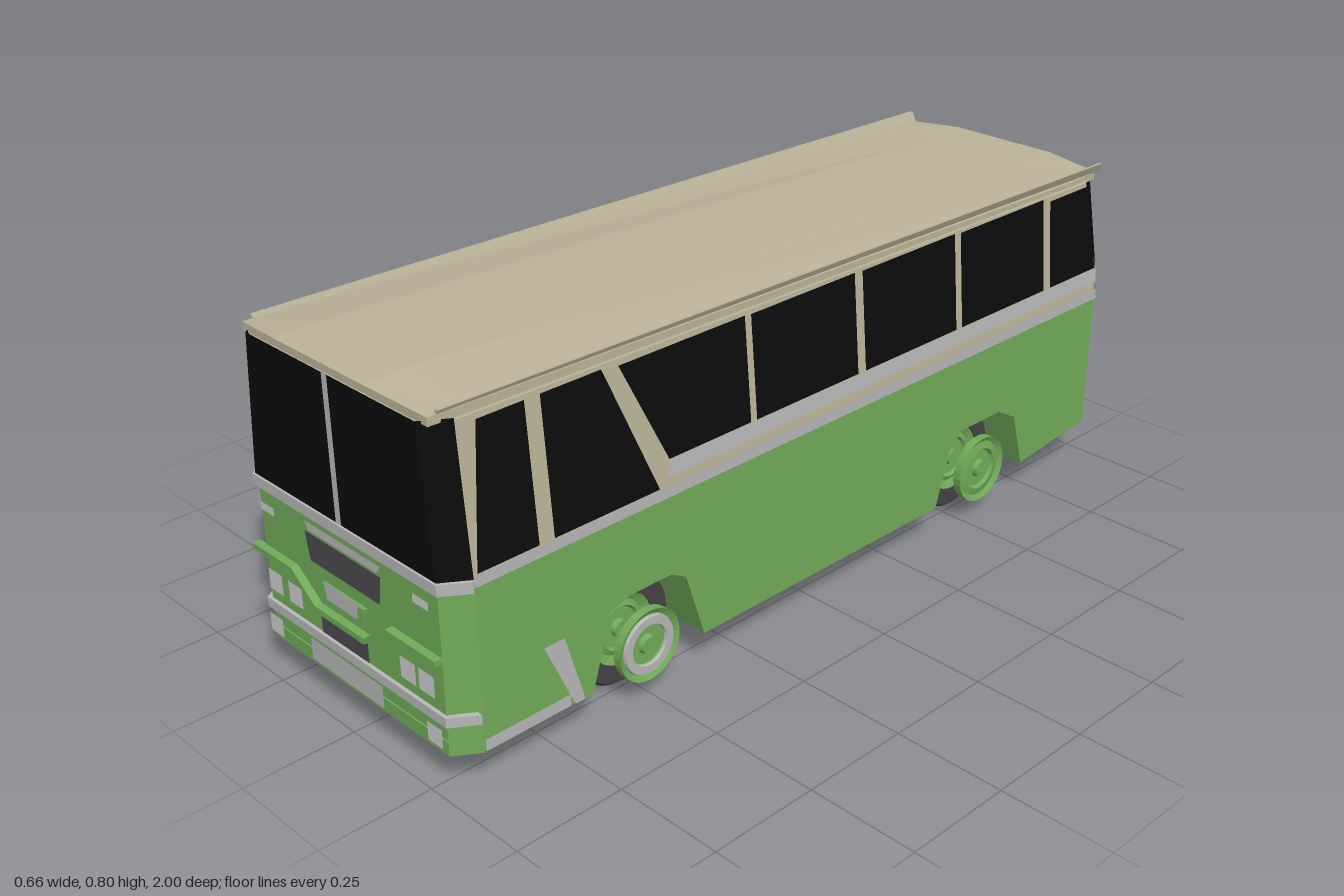
import * as THREE from 'three';

const mat = (name, color, side = THREE.FrontSide) => {
  const m = new THREE.MeshStandardMaterial({ color, side });
  m.name = name;
  return m;
};

export function createModel() {
  const bus = new THREE.Group();
  bus.name = 'bus';
  const green = mat('green paint', 0x70aa58);
  const beige = mat('beige paint', 0xbab297);
  const silver = mat('silver trim', 0xb6b6b6, THREE.DoubleSide);
  const lamp = mat('lamp glass', 0xcccccc);
  const black = mat('dark glass', 0x0b0b0b, THREE.DoubleSide);
  const grey = mat('dark grey grille', 0x4b494b);
  const rubber = mat('tyre rubber', 0x444144);
  const rearLamp = mat('rear lamp', 0xa69c88);

  const add = (name, geo, material, parent = bus) => {
    const m = new THREE.Mesh(geo, material);
    m.name = name;
    parent.add(m);
    return m;
  };

  // Skin between rows of points; closed rows also get end caps
  const loft = (rows, closed = true) => {
    const out = [];
    const tri = (...p) => p.forEach(q => out.push(...q));
    const n = rows[0].length;
    for (let r = 0; r < rows.length - 1; r++) {
      for (let i = 0; i < (closed ? n : n - 1); i++) {
        const j = (i + 1) % n, A = rows[r], B = rows[r + 1];
        tri(A[j], A[i], B[i]);
        tri(A[j], B[i], B[j]);
      }
    }
    if (closed) {
      const a = rows[0], b = rows[rows.length - 1];
      for (let i = 1; i < n - 1; i++) {
        tri(a[0], a[i], a[i + 1]);
        tri(b[0], b[i + 1], b[i]);
      }
    }
    const g = new THREE.BufferGeometry();
    g.setAttribute('position', new THREE.Float32BufferAttribute(out, 3));
    g.computeVertexNormals();
    return g;
  };

  // Body plan at a height: sides lean in and the tail leans forward above the waist
  const lean = y => Math.max(0, y - 0.46);
  const halfW = y => 0.323 - lean(y) * 0.088;
  const rearZ = y => 0.994 - lean(y) * 0.12;
  const plan = (y, o = 0) => {
    const w = halfW(y) + o, f = 0.98 + o, r = -rearZ(y) - o;
    return [[w, r + 0.045], [w, f - 0.055], [w - 0.037, f], [-w + 0.037, f],
      [-w, f - 0.055], [-w, r + 0.045], [-w + 0.035, r], [w - 0.035, r]].map(([x, z]) => [x, y, z]);
  };
  const pick = (idx, y, o) => { const p = plan(y, o); return idx.map(i => p[i]); };
  const NOSE = [1, 2, 3, 4], TAIL = [5, 6, 7, 0];
  const wrap = (name, idx, y0, y1, o, m) => add(name, loft([pick(idx, y0, o), pick(idx, y1, o)], false), m);
  const bar = (name, idx, y0, y1, o, m) => add(name, loft([pick(idx, y0, o), pick(idx, y1, o)]), m);

  // Flat panels laid on the sides ([z, y] points) and on the ends ([x, y] points)
  const flat = (pts, s, place) => {
    const g = new THREE.ShapeGeometry(new THREE.Shape(pts.map(([u, v]) => new THREE.Vector2(s * u, v))));
    const p = g.attributes.position;
    for (let i = 0; i < p.count; i++) p.setXYZ(i, ...place(s * p.getX(i), p.getY(i)));
    g.computeVertexNormals();
    return g;
  };
  const sidePanels = (name, pts, m, o = 0.004) => {
    for (const s of [1, -1]) add(name, flat(pts, -s, (z, y) => [s * (halfW(y) + o), y, z]), m);
  };
  const endPanel = (name, s, pts, m, o = 0.005) =>
    add(name, flat(pts, s, (x, y) => [x, y, s > 0 ? 0.98 + o : -rearZ(y) - o]), m);
  const rect = (a, b, c, d) => [[a, c], [b, c], [b, d], [a, d]];

  // Lower body with open wheel arches
  const profile = [[0.925, 0.085], [0.925, 0.45], [-0.949, 0.45], [-0.949, 0.11], [-0.70, 0.085],
    [-0.66, 0.22], [-0.60, 0.255], [-0.46, 0.255], [-0.42, 0.215], [-0.38, 0.085],
    [0.36, 0.085], [0.41, 0.24], [0.45, 0.262], [0.56, 0.262], [0.61, 0.245], [0.66, 0.085]];
  const hull = new THREE.ExtrudeGeometry(new THREE.Shape(profile.map(p => new THREE.Vector2(...p))),
    { depth: 0.646, bevelEnabled: false });
  hull.rotateY(-Math.PI / 2).translate(0.323, 0, 0);
  add('lowerBody', hull, green);
  bar('nose', NOSE, 0.082, 0.45, 0, green);
  const tuck = pick(TAIL, 0.11).map(([x, y, z]) => [x, y, Math.max(z, -0.965)]);
  add('tail', loft([tuck, pick(TAIL, 0.15), pick(TAIL, 0.45)]), green);

  // Cabin, waist bands and wraparound glass
  add('cabin', loft([plan(0.45), plan(0.755).map(([x, y, z]) => [x, 0.745 + 0.015 * z, z])]), beige);
  wrap('waistBand', [4, 5, 6, 7, 0, 1], 0.438, 0.462, 0.003, silver);
  sidePanels('upperBand', [[0.46, 0.482], [-0.95, 0.482], [-0.95, 0.515], [0.445, 0.515]], silver, 0.003);
  wrap('rearUpperBand', TAIL, 0.482, 0.515, 0.003, silver);
  wrap('windscreen', NOSE, 0.457, 0.765, 0.004, black);
  wrap('rearWindow', TAIL, 0.515, 0.728, 0.004, black);
  endPanel('windscreenDivider', 1, rect(-0.009, 0.008, 0.46, 0.768), silver, 0.008);
  endPanel('rearWindowDivider', -1, rect(-0.008, 0.008, 0.515, 0.728), silver, 0.007);
  endPanel('rearWindowPlate', -1, rect(-0.15, 0.15, 0.518, 0.55), silver, 0.009);

  // Side windows: bottom rear, bottom front, top front, top rear
  const windows = [
    [0.778, 0.92, 0.885, 0.778, 0.465, 0.748], [0.48, 0.742, 0.742, 0.598, 0.465, 0.748],
    [0.227, 0.45, 0.557, 0.227, 0.518, 0.742], [-0.094, 0.21, 0.21, -0.094, 0.518, 0.74],
    [-0.42, -0.118, -0.118, -0.42, 0.518, 0.738], [-0.74, -0.44, -0.44, -0.74, 0.518, 0.735],
    [-0.942, -0.765, -0.765, -0.912, 0.518, 0.725]];
  for (const [a, b, c, d, y0, y1] of windows)
    sidePanels('sideWindow', [[a, y0], [b, y0], [c, y1], [d, y1]], black);

  // Crowned roof with a bowed front lip
  const roofRow = (z, w, e, c, bow) => [[w, e, z], [0.14, c, z + bow], [-0.14, c, z + bow],
    [-w, e, z], [-w, e - 0.018, z], [w, e - 0.018, z]];
  add('roof', loft([roofRow(0.975, 0.287, 0.777, 0.797, 0.025), roofRow(0.9, 0.29, 0.776, 0.8, 0),
    roofRow(-0.88, 0.288, 0.742, 0.75, 0), roofRow(-0.97, 0.28, 0.742, 0.754, -0.012)]), beige);
  for (const s of [1, -1]) {
    const row = (z, t) => {
      const p = [[0.292, t], [0.285, t], [0.272, t - 0.024], [0.28, t - 0.024]].map(([x, y]) => [s * x, y, z]);
      return s > 0 ? p : p.reverse();
    };
    add('roofGutter', loft([row(0.955, 0.785), row(-0.98, 0.762)]), beige);
  }

  // Front trim
  bar('upperBumper', NOSE, 0.432, 0.456, 0.008, silver);
  bar('lowerBumper', NOSE, 0.153, 0.174, 0.008, silver);
  endPanel('ventTrim', 1, [[-0.115, 0.4], [0.107, 0.4], [0.118, 0.418], [-0.127, 0.418]], silver);
  endPanel('upperGrille', 1, [[-0.117, 0.333], [0.108, 0.333], [0.118, 0.395], [-0.128, 0.395]], grey);
  endPanel('lowerGrille', 1, rect(-0.1, 0.055, 0.179, 0.222), grey);
  endPanel('badgePlate', 1, [[-0.06, 0.272], [0.038, 0.272], [0.045, 0.309], [-0.068, 0.309]], silver, 0.012);
  endPanel('numberPlate', 1, rect(-0.148, 0.092, 0.094, 0.144), silver);
  for (const x of [-0.281, -0.211, 0.158, 0.215]) endPanel('headlight', 1, rect(x, x + 0.047, 0.2, 0.247), lamp);
  for (const x of [-0.295, 0.23]) endPanel('fogLamp', 1, rect(x, x + 0.045, 0.095, 0.137), lamp);
  endPanel('markerLamp', 1, rect(-0.281, -0.235, 0.381, 0.399), lamp);
  endPanel('markerLamp', 1, rect(0.215, 0.262, 0.387, 0.406), lamp);

  // Raised green ribs and badge mount
  const relief = (name, pts, depth) => add(name, new THREE.ExtrudeGeometry(
    new THREE.Shape(pts.map(p => new THREE.Vector2(...p))), { depth, bevelEnabled: false }).translate(0, 0, 0.979), green);
  const top = [[-0.31, 0.297], [-0.175, 0.297], [-0.1, 0.242], [0.06, 0.242], [0.135, 0.297], [0.285, 0.297]];
  relief('frontRib', [...top, ...top.map(([x, y]) => [x, y - 0.013]).reverse()], 0.018);
  relief('badgeMount', [[-0.072, 0.256], [0.05, 0.256], [0.058, 0.3], [-0.081, 0.3]], 0.01);
  relief('chinRib', rect(-0.285, 0.285, 0.112, 0.117), 0.004);

  // Silver step trim behind the front corners
  sidePanels('stepTrim', rect(0.72, 0.925, 0.087, 0.113), silver);
  sidePanels('slantTrim', [[0.685, 0.087], [0.71, 0.087], [0.78, 0.245], [0.73, 0.245]], silver, 0.005);

  // Rear lamps and plate
  for (const x of [0.275, 0.18, -0.135, -0.235])
    endPanel('rearLamp', -1, rect(x - 0.025, x + 0.025, 0.18, 0.207), rearLamp);
  endPanel('rearPlate', -1, rect(-0.06, 0.1, 0.17, 0.213), grey);

  // Wheels: tyre with a dished hub, plus a separate hub disc towards +x
  const lathe = pts => new THREE.LatheGeometry(pts.map(p => new THREE.Vector2(...p)), 28).rotateZ(-Math.PI / 2);
  const sharp = pts => {
    const g = lathe(pts).toNonIndexed();
    g.computeVertexNormals();
    return g;
  };
  const tyreGeo = sharp([[0.08, -0.034], [0.118, -0.034], [0.125, -0.026], [0.125, 0.026],
    [0.118, 0.034], [0.08, 0.034], [0.08, -0.034]]);
  const hubGeo = sharp([[0, -0.03], [0.018, -0.03], [0.02, -0.018], [0.045, -0.018], [0.05, -0.026], [0.062, -0.02],
    [0.081, -0.03], [0.081, 0.03], [0.062, 0.02], [0.05, 0.026], [0.045, 0.018], [0.02, 0.018], [0.018, 0.03], [0, 0.03]]);
  const discGeo = sharp([[0, -0.01], [0.08, -0.01], [0.08, 0.01], [0.068, 0.002], [0.05, 0.006],
    [0.045, -0.002], [0.022, -0.002], [0.018, 0.009], [0, 0.009]]);
  const ringGeo = sharp([[0.066, 0.003], [0.064, 0.009], [0.046, 0.009], [0.044, 0.003]]);
  for (const [z, front] of [[0.51, true], [-0.545, false]]) {
    for (const x of [0.21, -0.291]) {
      const wheel = new THREE.Group();
      wheel.name = front ? 'frontWheel' : 'rearWheel';
      wheel.position.set(x, 0.125, z);
      add('tyre', tyreGeo, rubber, wheel);
      add('hub', hubGeo, green, wheel);
      add('hubDisc', discGeo, green, wheel).position.x = 0.104;
      if (front) add('hubRing', ringGeo, silver, wheel).position.x = 0.104;
      bus.add(wheel);
    }
  }
  return bus;
}
